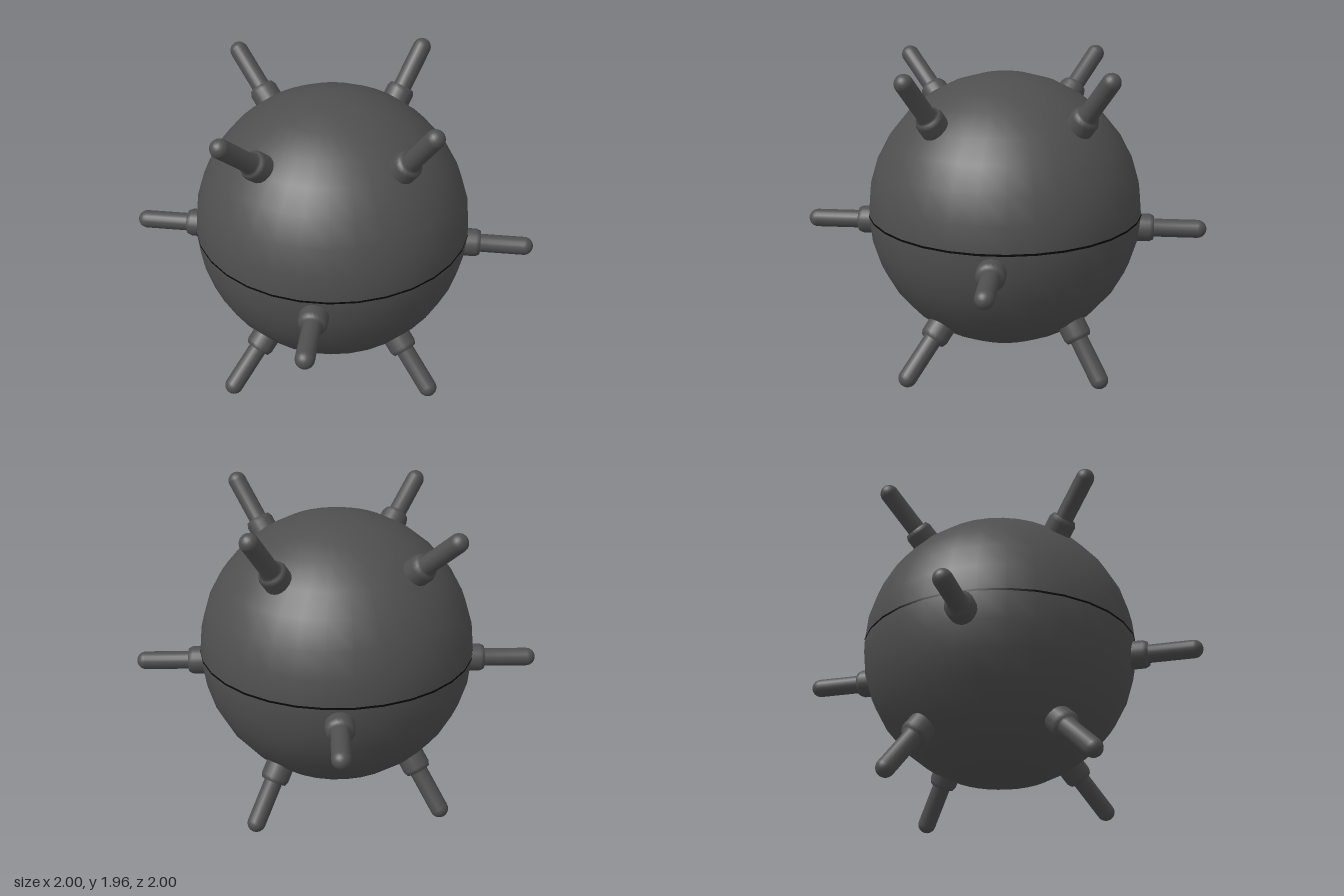
import * as THREE from 'three';

const CORE_Y = 0.992;    // centre of the ball
const SPIKE_Y = 0.985;   // centre of the spike pattern
const RADIUS = 0.862;
const ROD = 0.057;       // rod radius

// Collar, rod and domed end turned around +y, with y = 0 at the centre of the dome
function spikeGeometry() {
  const points = [[0.088, -0.46], [0.088, -0.302], [0.076, -0.275], [ROD, -0.272], [ROD, -0.272]]
    .slice(0, 4).map(([r, y]) => new THREE.Vector2(r, y));
  for (let i = 0; i <= 6; i++) {
    const a = (i / 6) * Math.PI / 2;
    points.push(new THREE.Vector2(i === 6 ? 0 : ROD * Math.cos(a), ROD * Math.sin(a)));
  }
  return new THREE.LatheGeometry(points, 20);
}

export function createModel() {
  const model = new THREE.Group();
  model.name = 'spikedBall';
  const steel = new THREE.MeshStandardMaterial({ color: 0x4f4f4f });
  steel.name = 'dark grey';
  const black = new THREE.MeshStandardMaterial({ color: 0x080808 });
  black.name = 'black';

  // Ball
  const ball = new THREE.Mesh(new THREE.SphereGeometry(RADIUS, 32, 16), steel);
  ball.name = 'ball';
  ball.position.y = CORE_Y;
  model.add(ball);

  // Thin seam between the two halves
  const seam = new THREE.Mesh(
    new THREE.CylinderGeometry(RADIUS + 0.002, RADIUS + 0.002, 0.013, 32, 1, true), black);
  seam.name = 'seam';
  seam.position.y = CORE_Y + 0.002;
  model.add(seam);

  // Spikes
  const geometry = spikeGeometry();
  const up = new THREE.Vector3(0, 1, 0);
  function addSpike(name, tip, direction) {
    const spike = new THREE.Mesh(geometry, steel);
    spike.name = name;
    spike.position.set(tip[0], SPIKE_Y + tip[1], tip[2]);
    spike.quaternion.setFromUnitVectors(up, new THREE.Vector3(...direction).normalize());
    model.add(spike);
  }

  // Middle ring: four level spikes a quarter turn apart
  for (let i = 0; i < 4; i++) {
    const a = THREE.MathUtils.degToRad(39.2 + 90 * i);
    const x = Math.cos(a), z = -Math.sin(a);
    addSpike('middleSpike', [x * 1.217, -0.102, z * 1.217], [x, 0, z]);
  }

  // Upper and lower rings: steep and shallow spikes alternate
  const steep = { out: 0.808, rise: 0.924, angle: 52.5 };
  const shallow = { out: 0.861, rise: 0.878, angle: 41.5 };
  const slanted = [
    // name, x, z, vertical side, kind, sideways shift
    ['upperLeftSpike', 1, 0, 1, steep, 0],
    ['upperRightSpike', -1, 0, 1, shallow, 0],
    ['upperFrontSpike', 0, 1, 1, shallow, 0.015],
    ['upperBackSpike', 0, -1, 1, steep, -0.027],
    ['lowerLeftSpike', 1, 0, -1, shallow, -0.015],
    ['lowerRightSpike', -1, 0, -1, steep, 0.02],
    ['lowerFrontSpike', 0, 1, -1, shallow, -0.005],
    ['lowerBackSpike', 0, -1, -1, steep, 0],
  ];
  for (const [name, x, z, side, kind, shift] of slanted) {
    const a = THREE.MathUtils.degToRad(kind.angle);
    const c = Math.cos(a), s = Math.sin(a);
    addSpike(name,
      [x * kind.out + Math.abs(z) * shift, side * kind.rise, z * kind.out + Math.abs(x) * shift],
      [x * c, side * s, z * c]);
  }
  return model;
}
